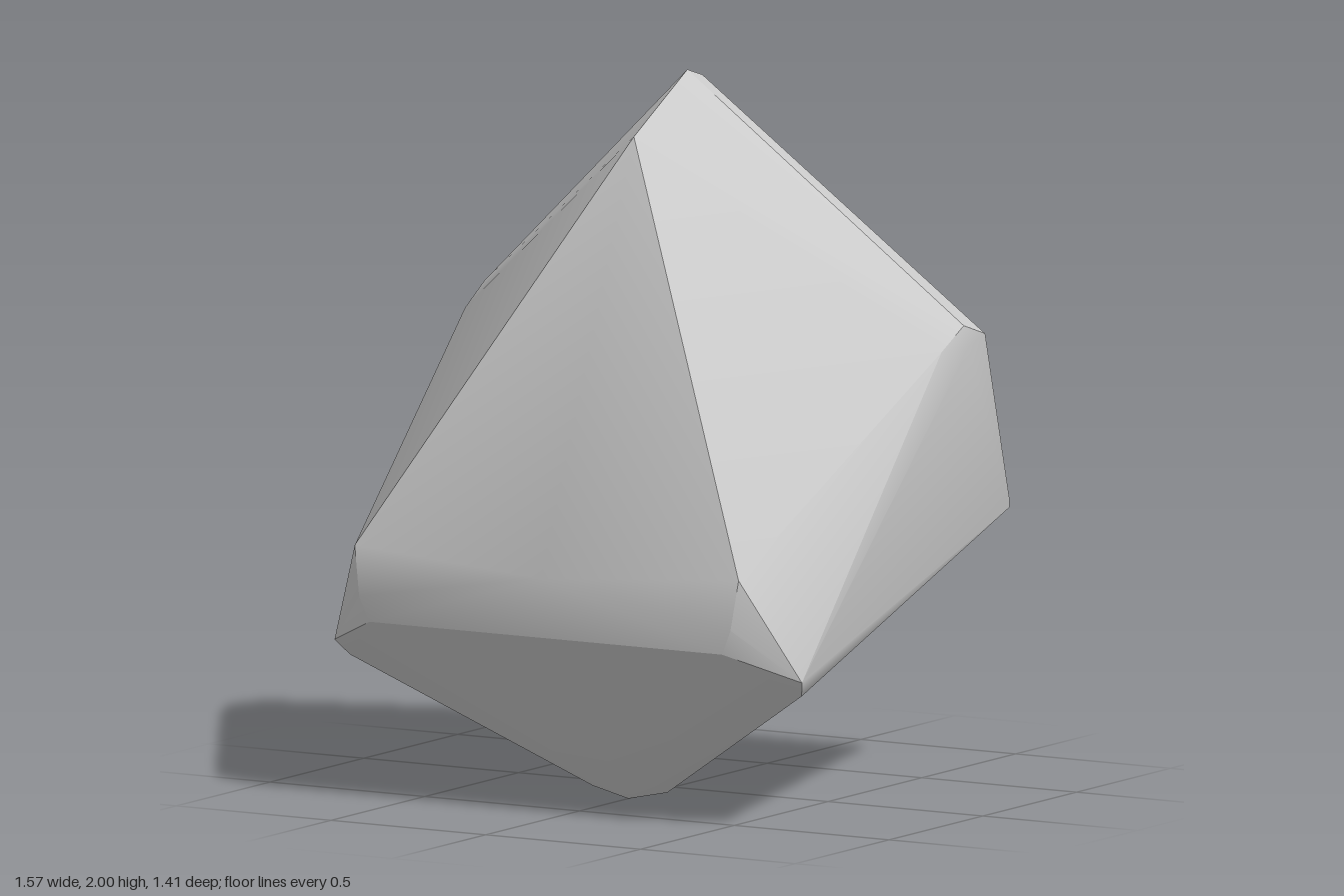
import * as THREE from 'three';
import { ConvexGeometry } from 'three/addons/geometries/ConvexGeometry.js';
import { toCreasedNormals } from 'three/addons/utils/BufferGeometryUtils.js';

// Corners on the middle plane: [y, z]
const middle = [
  [2.0, -0.075], [1.975, -0.155],   // peak
  [1.85, 0.21],                     // top of the front facet
  [0.68, 0.705],                    // front brow
  [0.59, -0.6],                     // lower back
  [0.003, 0.24], [0.005, 0.2],      // foot
];

// Corners mirrored to both sides: [x, y, z]
const sides = [
  [0.62, 0.72, 0.675], [0.57, 0.51, 0.68], [0.6, 0.58, 0.685],     // front corner bevel
  [0.755, 0.43, 0.56], [0.73, 0.385, 0.52], [0.755, 0.45, 0.53],   // lower side corner
  [0.785, 1.26, -0.28], [0.775, 1.32, -0.27],                      // upper side corner
  [0.77, 1.26, -0.16], [0.765, 1.28, -0.4],
  [0.66, 0.77, -0.703], [0.66, 0.745, -0.703],                     // back corner
  [0.12, 0.028, 0.23], [0.09, 0.06, 0.29], [0.06, 0.02, 0.17],     // foot bevel
];

export function createModel() {
  const group = new THREE.Group();
  group.name = 'rock';

  const points = middle.map(([y, z]) => new THREE.Vector3(0, y, z));
  for (const [x, y, z] of sides) {
    for (const s of [-1, 1]) points.push(new THREE.Vector3(s * x, y, z));
  }

  // Faceted stone: crisp large faces, soft narrow bevels
  const geometry = toCreasedNormals(new ConvexGeometry(points), 0.55);
  const stone = new THREE.Mesh(geometry, new THREE.MeshStandardMaterial({ color: 0xcccccc }));
  stone.name = 'stone';
  group.add(stone);
  return group;
}
